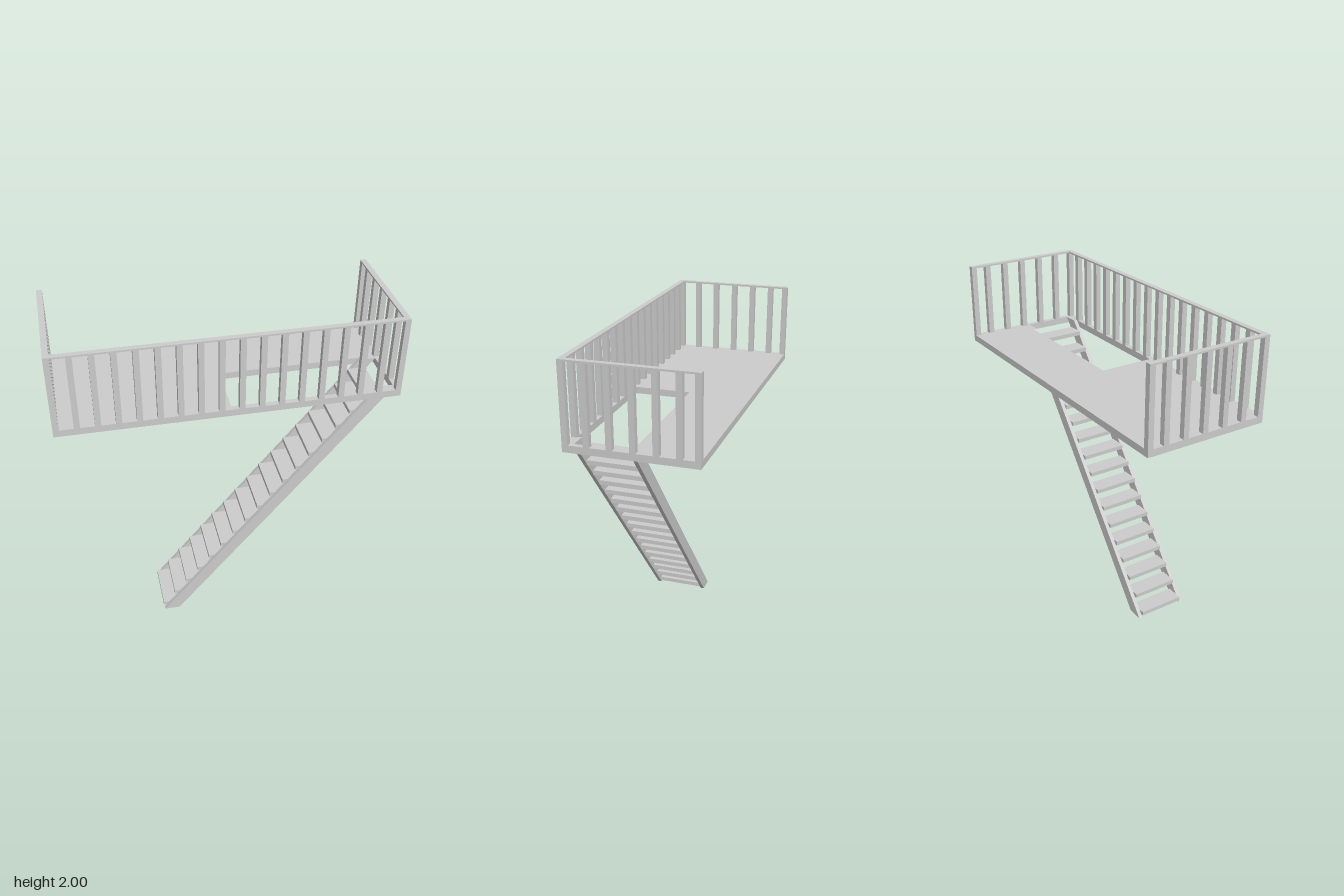
import * as THREE from 'three';

const material = new THREE.MeshStandardMaterial({ color: 0xcccccc, flatShading: true });

const HALF_X = 0.975, HALF_Z = 0.37;        // platform half extents
const DECK_BOTTOM = 1.51, DECK_TOP = 1.55;
const POST = 0.033, RAIL = 0.01, TOP = 2;
const WELL = { x0: 0, x1: 0.945, z0: 0, z1: 0.337 };   // stair opening

function addMesh(parent, name, geometry) {
  const mesh = new THREE.Mesh(geometry, material);
  mesh.name = name;
  parent.add(mesh);
  return mesh;
}

// Box given by its minimum and maximum corners
function addBox(parent, name, [x0, y0, z0], [x1, y1, z1]) {
  const mesh = addMesh(parent, name, new THREE.BoxGeometry(x1 - x0, y1 - y0, z1 - z0));
  mesh.position.set((x0 + x1) / 2, (y0 + y1) / 2, (z0 + z1) / 2);
  return mesh;
}

function polygon(points, Type = THREE.Shape) {
  return new Type(points.map(([x, y]) => new THREE.Vector2(x, y)));
}

// Floor slab with a rectangular stair opening
function buildPlatform() {
  const { x0, x1, z0, z1 } = WELL;
  const outline = polygon([[-HALF_X, -HALF_Z], [HALF_X, -HALF_Z], [HALF_X, HALF_Z], [-HALF_X, HALF_Z]]);
  outline.holes.push(polygon([[x0, -z0], [x1, -z0], [x1, -z1], [x0, -z1]], THREE.Path));
  const geometry = new THREE.ExtrudeGeometry(outline, { depth: DECK_TOP - DECK_BOTTOM, bevelEnabled: false });
  geometry.rotateX(-Math.PI / 2).translate(0, DECK_BOTTOM, 0);
  const group = new THREE.Group();
  addMesh(group, 'platform', geometry);
  return group;
}

// Railing along the front and both ends; the back stays open
function buildRailing() {
  const group = new THREE.Group();
  group.name = 'railing';
  const h = POST / 2, endX = HALF_X - h, endZ = HALF_Z - h;
  const post = (x, z) => addBox(group, 'baluster', [x - h, DECK_TOP, z - h], [x + h, TOP - RAIL, z + h]);

  const frontCount = 18;
  for (let i = 0; i < frontCount; i++) post(-endX + (2 * endX * i) / (frontCount - 1), endZ);
  addBox(group, 'frontHandrail', [-HALF_X, TOP - RAIL, HALF_Z - POST], [HALF_X, TOP, HALF_Z]);

  for (const side of [-1, 1]) {
    for (const z of [0.237, 0.113, -0.013, -0.136, -0.258, -endZ]) post(side * endX, z);
    const rail = addBox(group, side > 0 ? 'leftHandrail' : 'rightHandrail',
      [-h, TOP - RAIL, -HALF_Z], [h, TOP, HALF_Z - POST]);
    rail.position.x = side * endX;
  }
  return group;
}

// Straight open-riser flight with two sloping stringers
function buildStairs() {
  const group = new THREE.Group();
  group.name = 'stairs';
  const thickness = 0.023;
  const profile = polygon([[-0.425, 0], [-0.33, 0], [0.945, DECK_TOP], [0.85, DECK_TOP]]);
  for (const z of [WELL.z0, WELL.z1 - thickness]) {
    const geometry = new THREE.ExtrudeGeometry(profile, { depth: thickness, bevelEnabled: false });
    addMesh(group, 'stringer', geometry).position.z = z;
  }
  for (let i = 0; i < 17; i++) {
    const x = -0.43 + 0.0755 * i, y = 0.015 + 0.0909 * i;
    addBox(group, 'tread', [x, y, WELL.z0 + thickness], [x + 0.108, y + 0.026, WELL.z1 - thickness]);
  }
  return group;
}

export function createModel() {
  const model = new THREE.Group();
  model.name = 'platformWithStairs';
  model.add(buildPlatform(), buildRailing(), buildStairs());
  return model;
}
